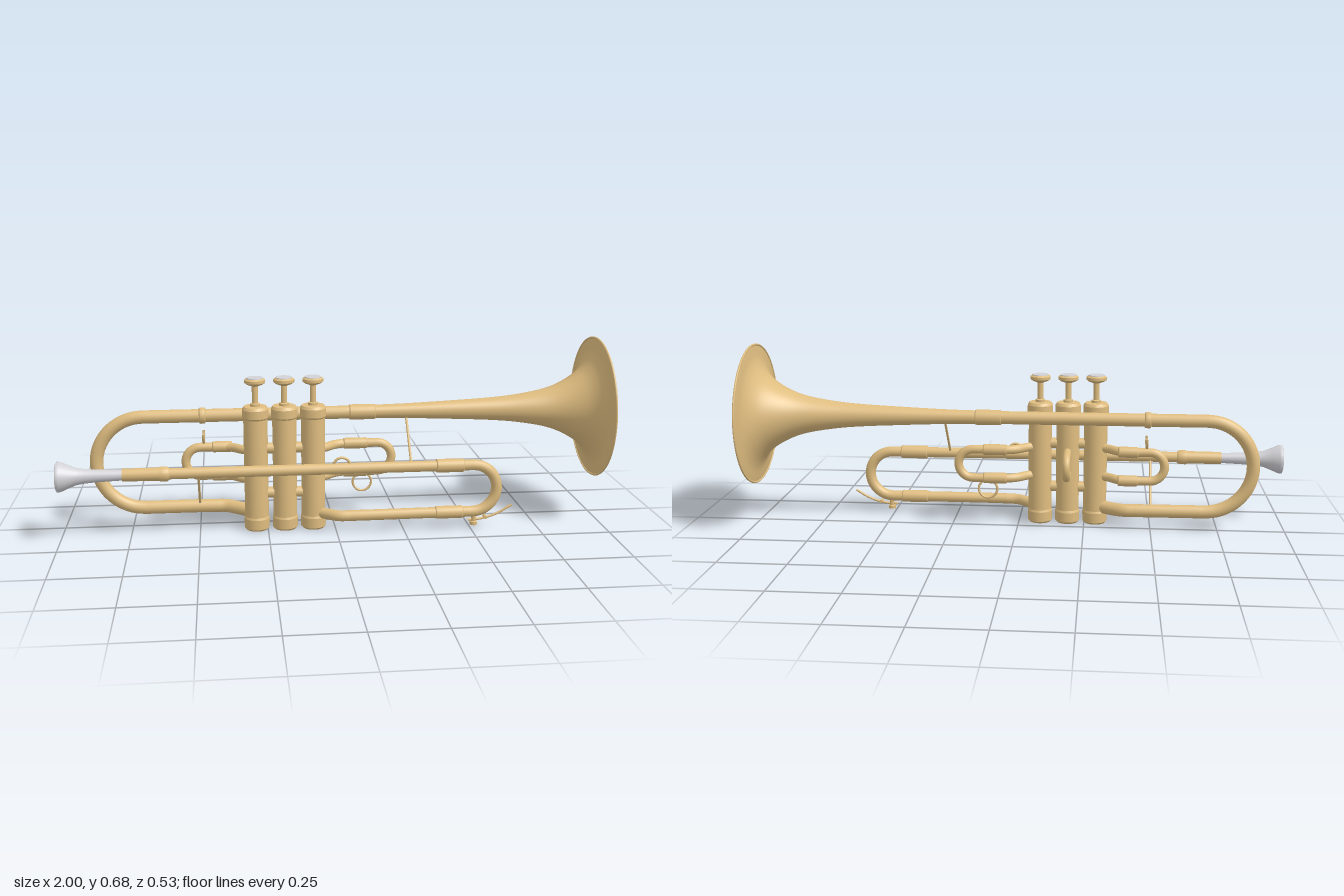
import * as THREE from 'three';

const brass = new THREE.MeshStandardMaterial({ color: 0xdfbd80, side: THREE.DoubleSide });
brass.name = 'brass';
const silver = new THREE.MeshStandardMaterial({ color: 0xd2d2d6, side: THREE.DoubleSide });
silver.name = 'silver';

const BORE_Y = 0.42, LEAD_Y = 0.245, LEAD_Z = 0.147, VALVE_Z = 0.073;
const V = (x, y, z) => new THREE.Vector3(x, y, z);

export function createModel() {
  const model = new THREE.Group();
  model.name = 'trumpet';

  function add(name, geometry, material = brass, parent = model) {
    const mesh = new THREE.Mesh(geometry, material);
    mesh.name = name;
    parent.add(mesh);
    return mesh;
  }

  // Tube through a list of points
  function tube(name, points, radius, segments = 60) {
    return add(name, new THREE.TubeGeometry(new THREE.CatmullRomCurve3(points), segments, radius, 16));
  }

  // Turned part along x from [x, radius] pairs
  function turned(name, profile, y, z, material = brass, sides = 24) {
    const g = new THREE.LatheGeometry(profile.map(([x, r]) => new THREE.Vector2(r, x)), sides);
    g.rotateZ(-Math.PI / 2);
    g.translate(0, y, z);
    return add(name, g, material);
  }

  // Turned part along y from [radius, y] pairs; each segment keeps a hard edge
  function upright(name, profile, x, z, material = brass, parent = model) {
    const pts = [];
    profile.forEach(([r, y], i) => {
      const p = new THREE.Vector2(r, y);
      pts.push(p);
      if (i > 0 && i < profile.length - 1) pts.push(new THREE.Vector2(r, y + 0.0002));
    });
    const g = new THREE.LatheGeometry(pts, 28);
    g.translate(x, 0, z);
    return add(name, g, material, parent);
  }

  // Collar that slips over a horizontal tube
  function sleeve(name, x0, x1, r, y, z) {
    const e = 0.006;
    turned(name, [[x0, r - 0.008], [x0 + 0.001, r - 0.002], [x0 + e, r], [x1 - e, r],
      [x1 - 0.001, r - 0.002], [x1, r - 0.008]], y, z);
  }

  // Straight thin rod between two points
  function rod(name, a, b, r) {
    return add(name, new THREE.TubeGeometry(new THREE.LineCurve3(a, b), 1, r, 10));
  }

  // Half circle of points in the xy plane, from the top to the bottom
  function halfTurn(cx, cy, z, r, side) {
    const pts = [];
    for (let i = 0; i <= 12; i++) {
      const a = Math.PI * i / 12;
      pts.push(V(cx + side * r * Math.sin(a), cy + r * Math.cos(a), z));
    }
    return pts;
  }

  // Bell with a thin rolled rim
  const flare = [[0.04, 0.024], [0.25, 0.027], [0.45, 0.035], [0.6, 0.043], [0.7, 0.053], [0.8, 0.071],
    [0.87, 0.096], [0.93, 0.132], [0.965, 0.168], [0.984, 0.205], [0.992, 0.245], [0.995, 0.262]];
  const flareCurve = new THREE.SplineCurve(flare.map(([x, r]) => new THREE.Vector2(x, r)));
  turned('bell', flareCurve.getPoints(70).map(p => [p.x, p.y]), BORE_Y, 0, brass, 64);
  const rim = add('bellRim', new THREE.TorusGeometry(0.261, 0.004, 8, 64));
  rim.rotation.y = Math.PI / 2;
  rim.position.set(0.995, BORE_Y, 0);
  sleeve('bellFerrule', 0.06, 0.16, 0.0285, BORE_Y, 0);
  sleeve('bellCollar', -0.495, -0.47, 0.03, BORE_Y, 0);

  // Main loop from the bell back round to the first valve
  tube('mainLoop', [V(0.08, BORE_Y, 0), V(-0.3, BORE_Y, 0), V(-0.64, BORE_Y, 0), V(-0.68, BORE_Y, 0),
    ...halfTurn(-0.7, 0.246, 0, 0.174, -1),
    V(-0.68, 0.072, 0), V(-0.64, 0.072, 0), V(-0.44, 0.071, 0), V(-0.4, 0.07, 0.003),
    V(-0.36, 0.068, 0.025), V(-0.3, 0.066, 0.07)], 0.0245, 140);

  // Leadpipe, tuning slide and the elbow into the third valve
  tube('leadpipeAndTuningSlide', [V(-0.77, LEAD_Y, LEAD_Z), V(-0.2, LEAD_Y, LEAD_Z),
    V(0.4, LEAD_Y, LEAD_Z), V(0.48, LEAD_Y, LEAD_Z),
    ...halfTurn(0.505, 0.155, LEAD_Z, 0.09, 1),
    V(0.48, 0.065, LEAD_Z), V(0.4, 0.065, LEAD_Z), V(0.06, 0.064, LEAD_Z), V(0.01, 0.063, 0.143),
    V(-0.03, 0.062, 0.115), V(-0.075, 0.06, 0.075)], 0.02, 160);
  turned('mouthpieceReceiver', [[-0.77, 0.018], [-0.769, 0.023], [-0.64, 0.024], [-0.635, 0.027],
    [-0.61, 0.027], [-0.6, 0.019]], LEAD_Y, LEAD_Z);
  sleeve('upperSlideSleeve', 0.365, 0.47, 0.025, LEAD_Y, LEAD_Z);
  sleeve('lowerSlideSleeve', 0.365, 0.47, 0.0235, 0.065, LEAD_Z);

  // Mouthpiece with a hollow cup
  turned('mouthpiece', [[-0.92, 0.006], [-0.95, 0.024], [-0.98, 0.041], [-0.997, 0.046], [-1, 0.05],
    [-0.997, 0.055], [-0.985, 0.054], [-0.96, 0.043], [-0.93, 0.031], [-0.9, 0.026],
    [-0.86, 0.023], [-0.765, 0.019]], LEAD_Y, LEAD_Z, silver, 32);

  // Three valves with caps, stems and finger buttons
  const valveX = [-0.29, -0.185, -0.08];
  valveX.forEach((x) => {
    const valve = new THREE.Group();
    valve.name = 'valve';
    model.add(valve);
    upright('casing', [[0.044, 0.04], [0.044, 0.44]], x, VALVE_Z, brass, valve);
    upright('topCap', [[0.044, 0.422], [0.048, 0.428], [0.048, 0.458], [0.042, 0.468], [0, 0.47]], x, VALVE_Z, brass, valve);
    upright('bottomCap', [[0, 0.001], [0.04, 0.001], [0.046, 0.008], [0.047, 0.045], [0.044, 0.053]], x, VALVE_Z, brass, valve);
    upright('stem', [[0.018, 0.468], [0.018, 0.478], [0.011, 0.48], [0.011, 0.55]], x, VALVE_Z, brass, valve);
    upright('button', [[0.01, 0.542], [0.03, 0.55], [0.038, 0.556], [0.038, 0.566], [0.031, 0.571], [0, 0.571]],
      x, VALVE_Z, brass, valve);
    upright('buttonInlay', [[0.031, 0.57], [0.03, 0.574], [0, 0.574]], x, VALVE_Z, silver, valve);
  });

  // Short tubes joining the valves
  for (let i = 0; i < 2; i++) {
    [0.14, 0.31].forEach(y => rod('valveKnuckle', V(valveX[i], y, VALVE_Z), V(valveX[i + 1], y, VALVE_Z), 0.02));
  }

  // First and third valve slides, mirrored to either side
  const SLIDE_Z = -0.006;
  [[-1, -0.29, -0.493], [1, -0.08, 0.168]].forEach(([side, vx, cx]) => {
    const entry = (y) => [V(vx, y, VALVE_Z), V(vx + side * 0.05, y, 0.04), V(vx + side * 0.085, y, 0.008),
      V(vx + side * 0.12, y, SLIDE_Z), V(cx - side * 0.03, y, SLIDE_Z)];
    tube(side < 0 ? 'firstSlide' : 'thirdSlide', [...entry(0.298),
      ...halfTurn(cx, 0.243, SLIDE_Z, 0.055, side), ...entry(0.188).reverse()], 0.0165, 110);
    const x0 = side < 0 ? -0.45 : 0.04, x1 = side < 0 ? -0.375 : 0.13;
    [0.298, 0.188].forEach(y => sleeve('slideSleeve', x0, x1, 0.0205, y, SLIDE_Z));
  });

  // Second valve slide, a small bow at the back
  const bow = [V(-0.185, 0.285, VALVE_Z), V(-0.185, 0.285, -0.02)];
  for (let i = 0; i <= 8; i++) {
    const a = Math.PI * i / 8;
    bow.push(V(-0.185, 0.243 + 0.042 * Math.cos(a), -0.033 - 0.042 * Math.sin(a)));
  }
  bow.push(V(-0.185, 0.201, -0.02), V(-0.185, 0.201, VALVE_Z));
  tube('secondSlide', bow, 0.0145);

  // Finger ring, thumb saddle and little-finger hook
  const ring = add('fingerRing', new THREE.TorusGeometry(0.035, 0.0045, 8, 32));
  ring.position.set(0.112, 0.146, SLIDE_Z);
  const saddle = add('thumbSaddle', new THREE.TorusGeometry(0.036, 0.005, 8, 20, Math.PI));
  saddle.rotation.set(0, Math.PI / 2, Math.PI, 'YXZ');
  saddle.position.set(-0.48, 0.353, SLIDE_Z);
  const hook = add('littleFingerHook', new THREE.TorusGeometry(0.03, 0.005, 8, 20, Math.PI));
  hook.position.set(0.018, 0.256, LEAD_Z);

  // Braces between the pipes
  rod('rearBrace', V(-0.5, 0.235, LEAD_Z - 0.01), V(-0.5, 0.085, 0.01), 0.0045);
  rod('frontBrace', V(0.275, 0.4, 0.01), V(0.275, 0.255, LEAD_Z - 0.01), 0.0045);

  // Water key under the tuning slide
  tube('waterKeyLever', [V(0.49, 0.033, LEAD_Z), V(0.54, 0.036, LEAD_Z), V(0.6, 0.054, LEAD_Z),
    V(0.655, 0.086, LEAD_Z)], 0.0045, 20);
  upright('waterKeyPad', [[0, 0.014], [0.014, 0.014], [0.014, 0.026], [0.009, 0.028], [0.009, 0.05]], 0.512, LEAD_Z);
  const pivot = add('waterKeyPivot', new THREE.CylinderGeometry(0.006, 0.006, 0.026, 12));
  pivot.rotation.x = Math.PI / 2;
  pivot.position.set(0.555, 0.042, LEAD_Z);

  return model;
}
